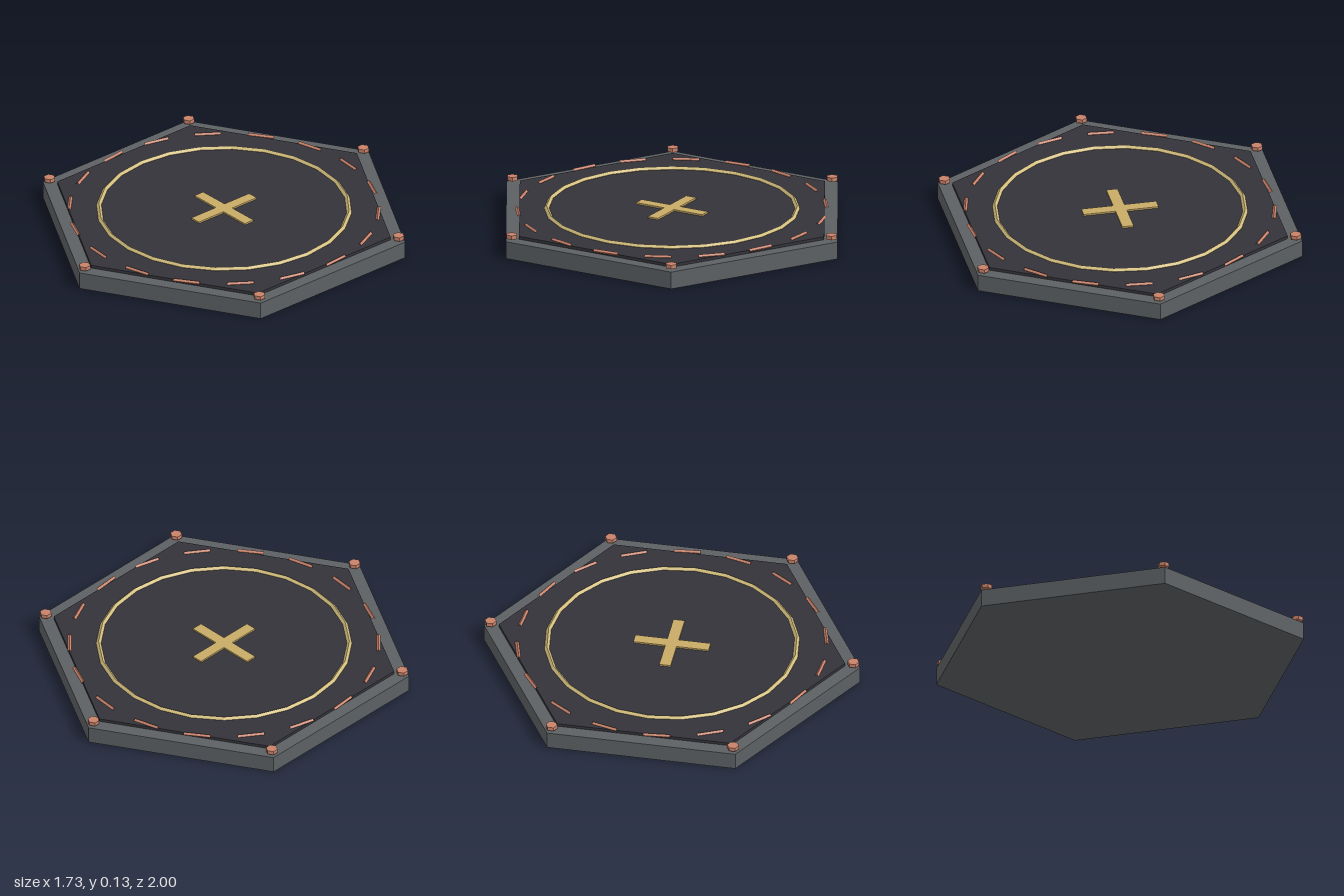
import * as THREE from 'three';

const mat = (name, color) => {
  const m = new THREE.MeshStandardMaterial({ color, flatShading: true });
  m.name = name;
  return m;
};

export function createModel() {
  const root = new THREE.Group();
  root.name = 'landingPad';
  const steel = mat('steel grey', 0x5c6063);
  const tarmac = mat('dark deck', 0x34333a);
  const paleGold = mat('pale gold', 0xd2bd7c);
  const gold = mat('gold', 0xc8ab66);
  const copper = mat('copper', 0xc9826a);

  const add = (name, geometry, material, x = 0, y = 0, z = 0, parent = root) => {
    const mesh = new THREE.Mesh(geometry, material);
    mesh.name = name;
    mesh.position.set(x, y, z);
    parent.add(mesh);
    return mesh;
  };
  const group = (name) => {
    const g = new THREE.Group();
    g.name = name;
    root.add(g);
    return g;
  };

  // Hexagonal slab with a thin inset deck
  add('base', new THREE.CylinderGeometry(1, 1, 0.093, 6), steel, 0, 0.0465, 0);
  add('deck', new THREE.CylinderGeometry(0.92, 0.92, 0.017, 6), tarmac, 0, 0.1005, 0);

  // Raised guide ring
  const ring = new THREE.TorusGeometry(0.655, 0.013, 4, 24).rotateX(-Math.PI / 2);
  add('guideRing', ring, paleGold, 0, 0.112, 0);

  // Centre cross: one long bar and two short arms
  const cross = group('centreCross');
  add('crossBar', new THREE.BoxGeometry(0.4, 0.009, 0.06), gold, 0, 0.1135, 0, cross);
  for (const s of [1, -1]) {
    add('crossArm', new THREE.BoxGeometry(0.06, 0.009, 0.17), gold, 0, 0.1135, s * 0.115, cross);
  }

  // Broken outer ring: eighteen straight dashes
  const dashes = group('outerDashes');
  const dash = new THREE.TorusGeometry(0.81, 0.01, 4, 1, Math.PI / 18).rotateX(-Math.PI / 2);
  for (let i = 0; i < 18; i++) {
    add('dash', dash, copper, 0, 0.112, 0, dashes).rotation.y = i * Math.PI / 9;
  }

  // Lamps hovering just above the six corners
  const lamps = group('cornerLamps');
  const lamp = new THREE.CylinderGeometry(0.031, 0.031, 0.021, 6);
  for (let i = 0; i < 6; i++) {
    const a = i * Math.PI / 3;
    add('lamp', lamp, copper, 0.964 * Math.sin(a), 0.1175, 0.964 * Math.cos(a), lamps);
  }
  return root;
}
